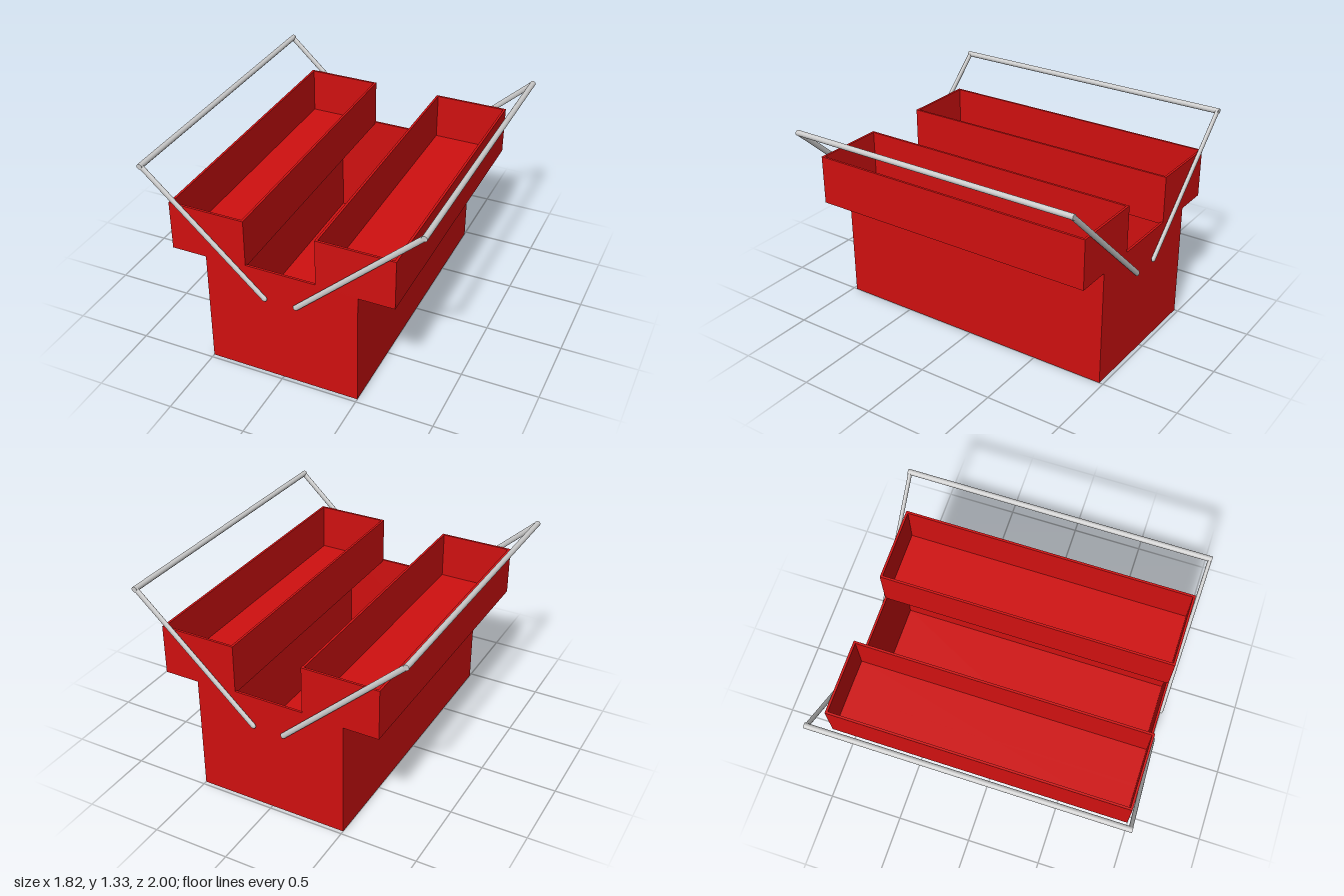
import * as THREE from 'three';

const red = new THREE.MeshStandardMaterial({ color: 0xd01010 });
const grey = new THREE.MeshStandardMaterial({ color: 0xcccccc });
const WALL = 0.015, DEPTH = 1.95;

function rectPath(path, w, d) {
  path.moveTo(-w / 2, -d / 2);
  path.lineTo(w / 2, -d / 2);
  path.lineTo(w / 2, d / 2);
  path.lineTo(-w / 2, d / 2);
  path.closePath();
  return path;
}

// Open-topped sheet metal box standing on its own y = 0
function openBox(name, w, h, d) {
  const group = new THREE.Group();
  group.name = name;
  const ring = rectPath(new THREE.Shape(), w, d);
  ring.holes.push(rectPath(new THREE.Path(), w - 2 * WALL, d - 2 * WALL));
  const wallGeo = new THREE.ExtrudeGeometry(ring, { depth: h, bevelEnabled: false });
  wallGeo.rotateX(-Math.PI / 2);
  const walls = new THREE.Mesh(wallGeo, red);
  walls.name = name + 'Walls';
  const floor = new THREE.Mesh(new THREE.BoxGeometry(w - 2 * WALL, WALL, d - 2 * WALL), red);
  floor.name = name + 'Floor';
  floor.position.y = WALL / 2;
  group.add(walls, floor);
  return group;
}

// Swing handle: two flattened arms with rounded ends and a round grip bar
function handle(name, side) {
  const group = new THREE.Group();
  group.name = name;
  const r = 0.018, thin = 0.025;
  const pivot = new THREE.Vector2(side * 0.105, 0.585);
  const top = new THREE.Vector2(side * 0.893, 1.313);
  const dir = top.clone().sub(pivot);
  for (const z of [1, -1]) {
    const arm = new THREE.Mesh(new THREE.CapsuleGeometry(r, dir.length(), 6, 16), grey);
    arm.name = z > 0 ? 'frontArm' : 'backArm';
    arm.position.set((pivot.x + top.x) / 2, (pivot.y + top.y) / 2, z * (1 - thin / 2));
    arm.rotation.z = dir.angle() - Math.PI / 2;
    arm.scale.z = thin / (2 * r);
    group.add(arm);
  }
  const grip = new THREE.Mesh(new THREE.CylinderGeometry(r, r, 2, 16), grey);
  grip.name = 'gripBar';
  grip.rotation.x = Math.PI / 2;
  grip.position.set(top.x, top.y, 0);
  group.add(grip);
  return group;
}

export function createModel() {
  const model = new THREE.Group();
  model.name = 'toolbox';
  model.add(openBox('body', 1, 0.785, DEPTH));

  // Trays opened out to both sides, each with its handle
  for (const [label, side] of [['left', 1], ['right', -1]]) {
    const tray = openBox(label + 'Tray', 0.5, 0.325, DEPTH);
    tray.position.set(side * 0.48, 0.77, 0);
    model.add(tray, handle(label + 'Handle', side));
  }
  return model;
}
